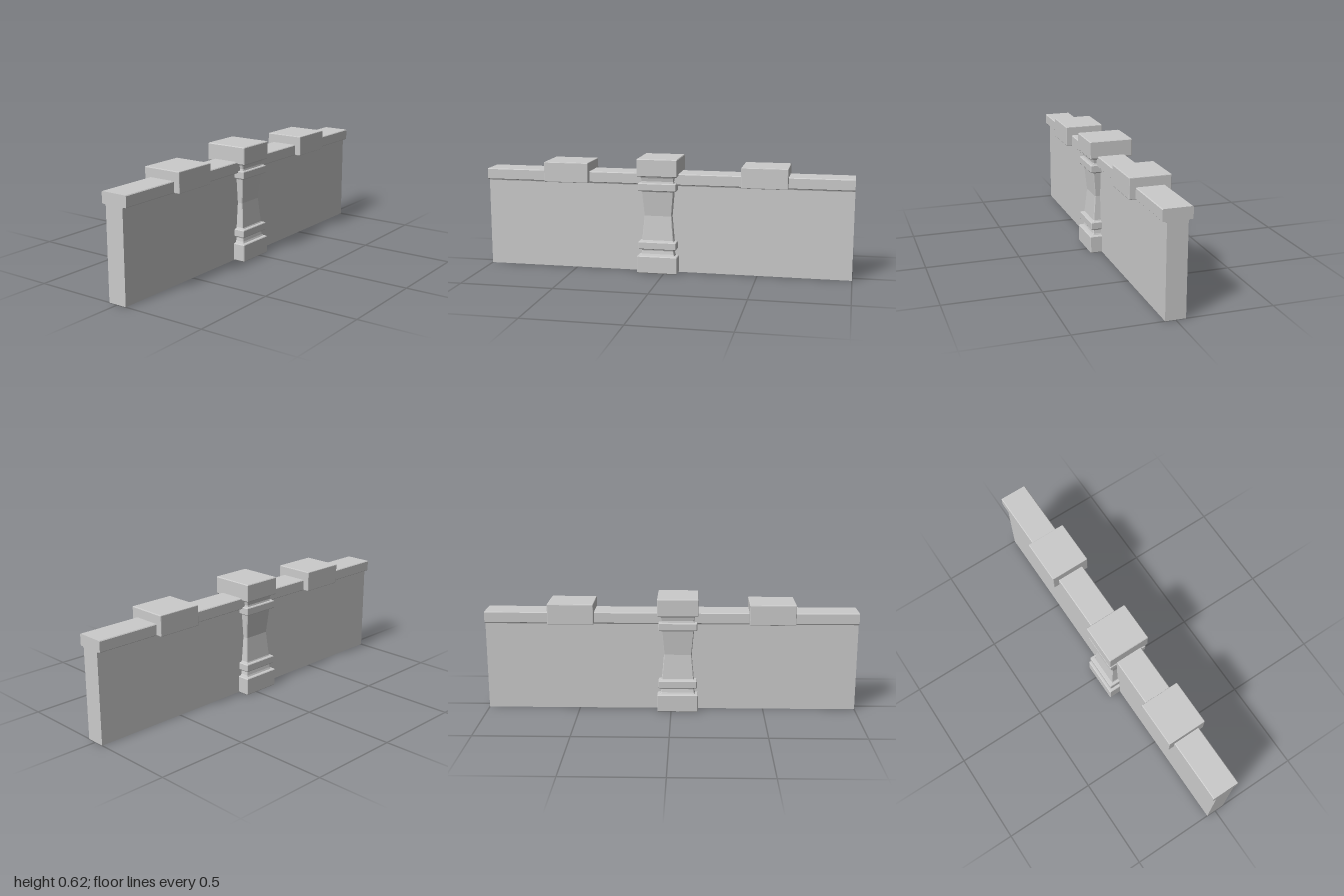
import * as THREE from 'three';
import { RoundedBoxGeometry } from 'three/addons/geometries/RoundedBoxGeometry.js';

const material = new THREE.MeshStandardMaterial({
  color: 0xcccccc, flatShading: true, side: THREE.DoubleSide,
});

function part(name, geometry, x = 0, y = 0) {
  const mesh = new THREE.Mesh(geometry, material);
  mesh.name = name;
  mesh.position.set(x, y, 0);
  return mesh;
}

// Wall and coping share one T-shaped section, extruded along x and open underneath
function wallGeometry() {
  const half = [[0.052, 0], [0.052, 0.474], [0.054, 0.479], [0.059, 0.482], [0.071, 0.482],
    [0.075, 0.486], [0.075, 0.538], [0.071, 0.542]];
  const section = [...half, ...half.map(([z, y]) => [-z, y]).reverse()];
  const shape = new THREE.Shape(section.map(([z, y]) => new THREE.Vector2(z, y)));
  const geometry = new THREE.ExtrudeGeometry(shape, { depth: 2, bevelEnabled: false });
  geometry.translate(0, 0, -1).rotateY(Math.PI / 2);

  // Leave out the triangles lying on the ground
  const p = geometry.attributes.position;
  const kept = [];
  for (let i = 0; i < p.count; i += 3) {
    if (Math.max(p.getY(i), p.getY(i + 1), p.getY(i + 2)) < 1e-5) continue;
    for (let j = i; j < i + 3; j++) kept.push(p.getX(j), p.getY(j), p.getZ(j));
  }
  const open = new THREE.BufferGeometry();
  open.setAttribute('position', new THREE.Float32BufferAttribute(kept, 3));
  open.computeVertexNormals();
  return open;
}

// Square column with chamfered corners lofted through [half width, height] pairs
function squareLoft(profile, xScale, chamfer) {
  const positions = [], index = [];
  for (const [h, y] of profile) {
    const k = Math.max(h - chamfer, 0);
    const ring = [[h, -k], [h, k], [k, h], [-k, h], [-h, k], [-h, -k], [-k, -h], [k, -h]];
    for (const [x, z] of ring) positions.push(x * xScale, y, z);
  }
  for (let i = 0; i < profile.length - 1; i++) {
    for (let j = 0; j < 8; j++) {
      const a = i * 8 + j, b = i * 8 + (j + 1) % 8;
      index.push(a, a + 8, b);
      if (profile[i + 1][0] > 0) index.push(b, a + 8, b + 8);
    }
  }
  const geometry = new THREE.BufferGeometry();
  geometry.setAttribute('position', new THREE.Float32BufferAttribute(positions, 3));
  geometry.setIndex(index);
  geometry.computeVertexNormals();
  return geometry;
}

// Lower half of the baluster post, mirrored about its waist
function postGeometry() {
  const waist = 0.312;
  const lower = [
    [0.115, 0], [0.1185, 0.004], [0.1185, 0.091], [0.115, 0.095], // plinth
    [0.101, 0.096], [0.097, 0.105], [0.094, 0.122], [0.096, 0.131], // neck
    [0.109, 0.131], [0.112, 0.135], [0.112, 0.169], [0.109, 0.173], // collar
    [0.096, 0.174], [0.093, 0.18], // shaft foot
  ];
  const upper = lower.map(([h, y]) => [h, 2 * waist - y]).reverse();
  return squareLoft([...lower, [0.0805, waist], ...upper, [0, 2 * waist]], 0.925, 0.004);
}

export function createModel() {
  const group = new THREE.Group();
  group.name = 'parapetWall';
  group.add(part('wallWithCoping', wallGeometry()));
  group.add(part('post', postGeometry(), -0.036));

  // Cap blocks straddling the coping
  const block = new RoundedBoxGeometry(0.246, 0.11, 0.217, 1, 0.004);
  for (const [name, x] of [['rightCapBlock', -0.54], ['leftCapBlock', 0.535]]) {
    group.add(part(name, block, x, 0.537));
  }
  return group;
}
